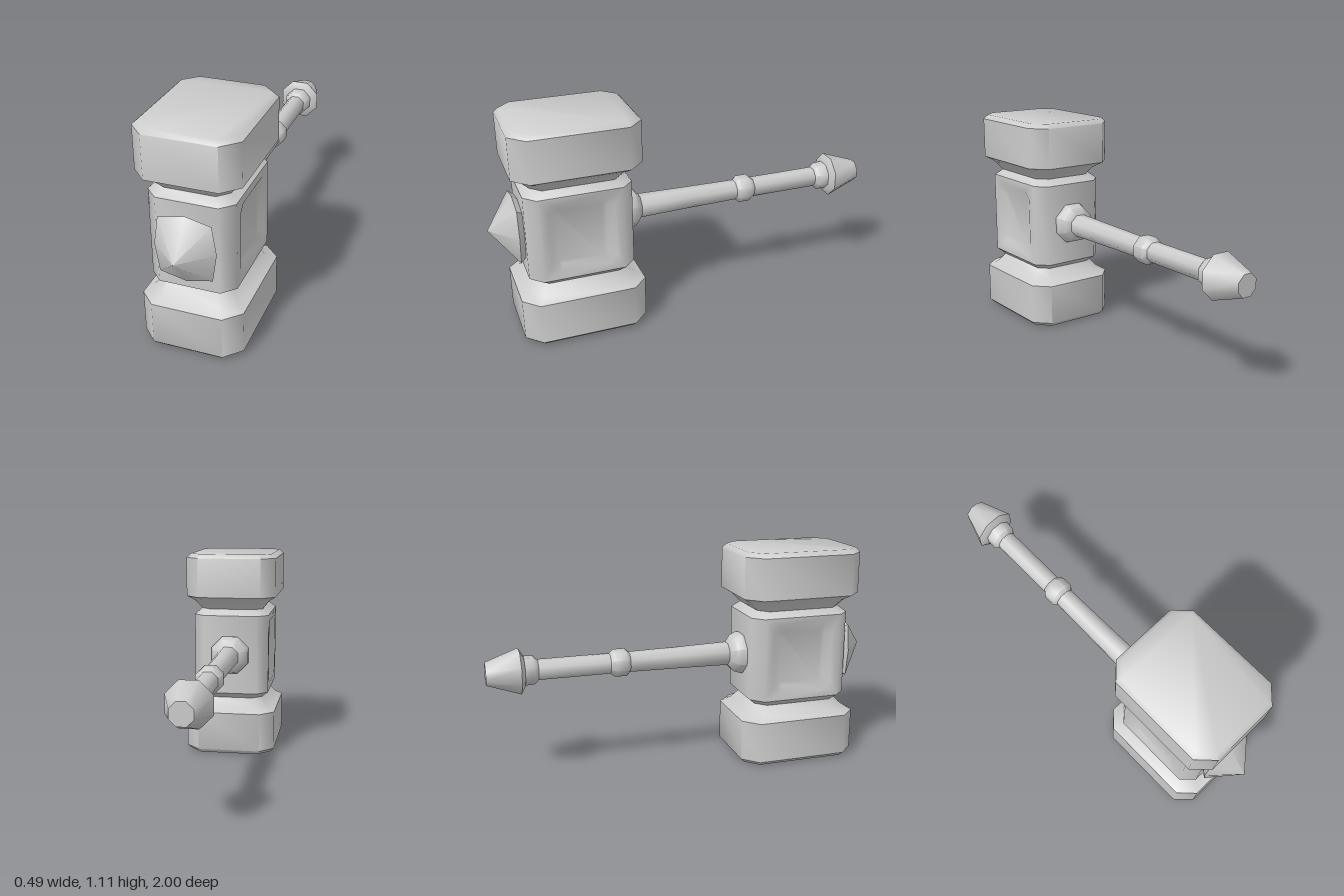
import * as THREE from 'three';
import { mergeGeometries, toCreasedNormals } from 'three/addons/utils/BufferGeometryUtils.js';

const MID_Y = 0.555, MID_Z = 0.579, CREASE = 0.81;

// Eight corners of a chamfered rectangle with half sizes a, b and corner cut c
function octagon(a, b, c) {
  return [[a, -b + c], [a, b - c], [a - c, b], [-a + c, b],
    [-a, b - c], [-a, -b + c], [-a + c, -b], [a - c, -b]];
}

// Skin a stack of equal-sized rings; skip(i, j) leaves a side open
function loft(rings, { start = false, end = false, skip = () => false } = {}) {
  const n = rings[0].length, index = [];
  for (let i = 0; i < rings.length - 1; i++) {
    for (let j = 0; j < n; j++) {
      if (skip(i, j)) continue;
      const k = (j + 1) % n, a = i * n, b = a + n;
      index.push(a + j, b + j, b + k, a + j, b + k, a + k);
    }
  }
  const last = (rings.length - 1) * n;
  for (let j = 1; j < n - 1; j++) {
    if (start) index.push(0, j, j + 1);
    if (end) index.push(last, last + j + 1, last + j);
  }
  const g = new THREE.BufferGeometry();
  g.setAttribute('position', new THREE.Float32BufferAttribute(rings.flat(2), 3));
  g.setIndex(index);
  return g;
}

function plain(g) {
  const out = g.index ? g.toNonIndexed() : g;
  out.deleteAttribute('uv');
  out.deleteAttribute('normal');
  return out;
}

function part(name, geometry) {
  const mesh = new THREE.Mesh(toCreasedNormals(geometry, CREASE),
    new THREE.MeshStandardMaterial({ color: 0xcccccc }));
  mesh.name = name;
  return mesh;
}

// Side face of the head with a shallow chamfered recess, facing +x or -x
function sidePanel(side) {
  const halfZ = 0.204, halfY = 0.218;
  const outer = octagon(0.162, 0.178, 0.04), inner = octagon(0.122, 0.141, 0.02);
  const shape = new THREE.Shape([[-halfZ, -halfY], [halfZ, -halfY], [halfZ, halfY], [-halfZ, halfY]]
    .map(p => new THREE.Vector2(...p)));
  shape.holes.push(new THREE.Path(outer.map(p => new THREE.Vector2(...p))));
  const at = (ring, z) => ring.map(([x, y]) => [x, y, z]).reverse();
  // rings run clockwise so the recess walls and floor face outward
  const recess = loft([at(outer, 0), at(inner, -0.02)], { end: true });
  const g = mergeGeometries([plain(new THREE.ShapeGeometry(shape)), plain(recess)]);
  g.rotateY(side * Math.PI / 2);
  g.translate(side * 0.206, MID_Y, MID_Z);
  return g;
}

function buildHead() {
  // height, half width, half depth, corner cut
  const lower = [
    [0, 0.222, 0.292, 0.064], [0.022, 0.246, 0.313, 0.076], [0.233, 0.246, 0.313, 0.076],
    [0.26, 0.205, 0.268, 0.066], [0.305, 0.17, 0.224, 0.05], [0.337, 0.206, 0.264, 0.06]];
  const upper = lower.map(([y, ...r]) => [2 * MID_Y - y - 0.002, ...r]).reverse();
  const rings = [...lower, ...upper].map(([y, a, b, c]) =>
    octagon(a, b, c).map(([x, z]) => [x, y, z + MID_Z]));
  const body = loft(rings, {
    start: true, end: true,
    skip: (i, j) => i === lower.length - 1 && (j === 0 || j === 4),
  });
  return part('hammerHead', mergeGeometries([plain(body), sidePanel(1), sidePanel(-1)]));
}

// Faceted point on the front of the head
function buildSpike() {
  const outline = [[0.146, 0], [0.125, 0.138], [0, 0.166], [-0.125, 0.138],
    [-0.146, 0], [-0.125, -0.138], [0, -0.166], [0.125, -0.138]];
  const rings = [[0.83, 0.8], [0.87, 1], [1, 0]].map(([z, s]) =>
    outline.map(([x, y]) => [x * s, y * s + MID_Y, z]).reverse());
  return part('frontSpike', loft(rings, { start: true }));
}

// Eight-sided turned part running backwards; profile is [z, half width]
function turned(name, profile) {
  const pts = profile.map(([z, r]) => new THREE.Vector2(r / Math.cos(Math.PI / 8), -z));
  const g = new THREE.LatheGeometry(pts, 8, Math.PI / 8);
  g.rotateX(-Math.PI / 2);
  g.translate(0, MID_Y, 0);
  return part(name, plain(g));
}

export function createModel() {
  const model = new THREE.Group();
  model.name = 'warHammer';
  model.add(
    buildHead(),
    buildSpike(),
    turned('handleCollar', [[0.33, 0.102], [0.3, 0.102], [0.265, 0.09], [0.235, 0.055], [0.235, 0]]),
    turned('handleShaft', [[0.26, 0.057], [0, 0.052], [-0.3, 0.048], [-0.78, 0.048]]),
    turned('gripRing', [[-0.285, 0.046], [-0.305, 0.065], [-0.365, 0.065], [-0.39, 0.046]]),
    turned('pommelCollar', [[-0.745, 0.046], [-0.765, 0.065], [-0.81, 0.068], [-0.835, 0.07]]),
    turned('pommel', [[-0.815, 0], [-0.815, 0.075], [-0.835, 0.106], [-1, 0.053], [-1, 0]]),
  );
  return model;
}
